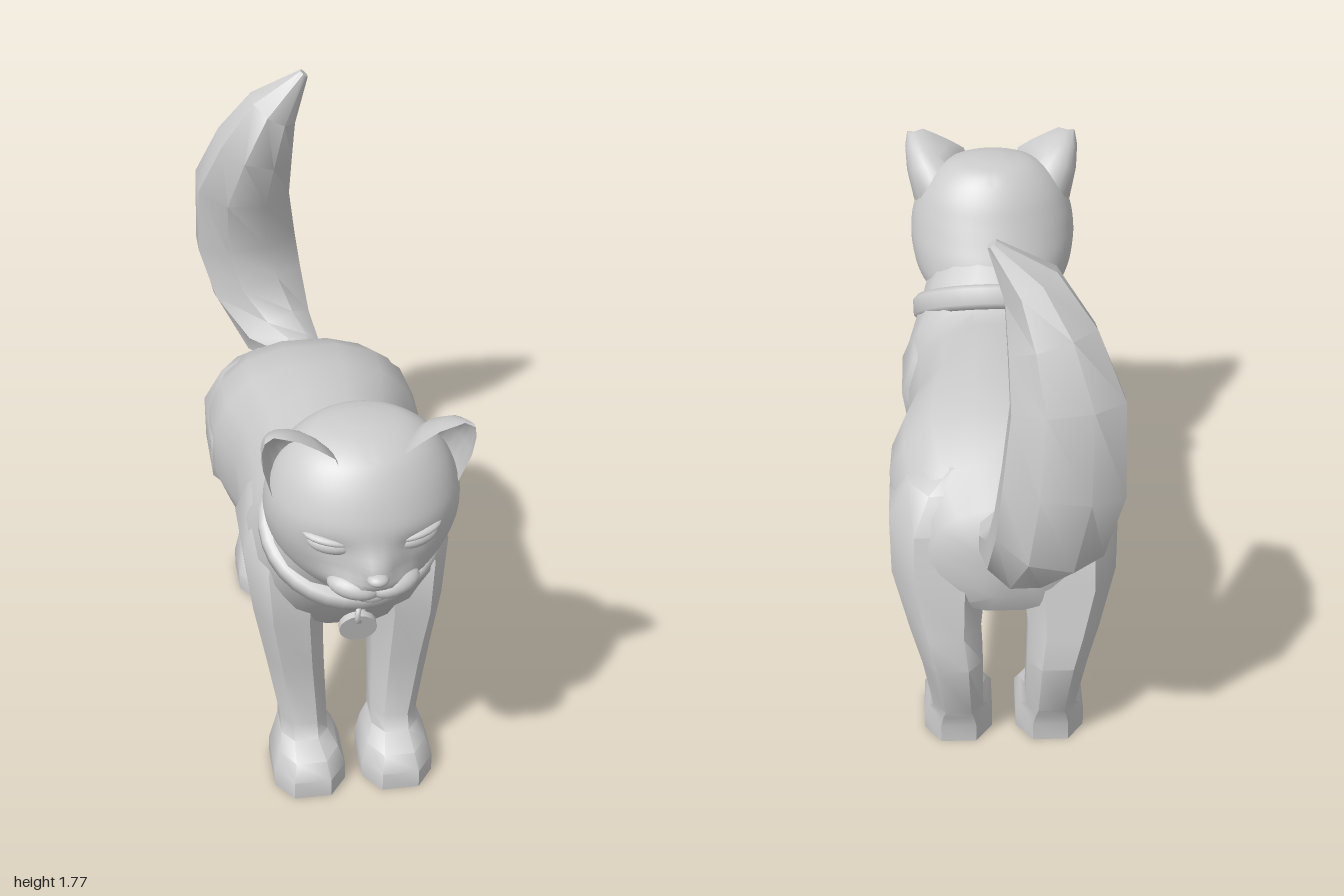
import * as THREE from 'three';
import { toCreasedNormals } from 'three/addons/utils/BufferGeometryUtils.js';

const material = new THREE.MeshStandardMaterial({ color: 0xcccccc });
const V = (x, y, z) => new THREE.Vector3(x, y, z);

function add(parent, name, geometry) {
  const mesh = new THREE.Mesh(geometry, material);
  mesh.name = name;
  parent.add(mesh);
  return mesh;
}

// Closed loop of n points around the axis a-b, with half-width w across it; p < 1 squares it off
function ring(a, b, w, n, p = 1, across = V(1, 0, 0)) {
  const centre = a.clone().add(b).multiplyScalar(0.5);
  const half = a.clone().sub(centre);
  const power = (v) => Math.sign(v) * Math.abs(v) ** p;
  return Array.from({ length: n }, (_, i) => {
    const t = ((i + 0.5) / n) * Math.PI * 2;
    return centre.clone().addScaledVector(across, w * power(Math.cos(t))).addScaledVector(half, power(Math.sin(t)));
  });
}

// Skin through equal-sized loops, capped at both ends and always facing outward
function loft(rings, crease) {
  const n = rings[0].length;
  const tris = [];
  for (let r = 0; r < rings.length - 1; r++) {
    for (let i = 0; i < n; i++) {
      const j = (i + 1) % n;
      const [a, b, c, d] = [rings[r][i], rings[r][j], rings[r + 1][j], rings[r + 1][i]];
      tris.push([a, b, c], [a, c, d]);
    }
  }
  for (const [loop, flip] of [[rings[0], true], [rings.at(-1), false]]) {
    const mid = loop.reduce((s, p) => s.add(p), V(0, 0, 0)).divideScalar(n);
    loop.forEach((p, i) => {
      const q = loop[(i + 1) % n];
      tris.push(flip ? [mid, q, p] : [mid, p, q]);
    });
  }
  const volume = tris.reduce((s, [a, b, c]) => s + a.dot(b.clone().cross(c)), 0);
  if (volume < 0) tris.forEach((t) => t.reverse());
  const geometry = new THREE.BufferGeometry().setFromPoints(tris.flat());
  return toCreasedNormals(geometry, crease);
}

function ellipsoid(parent, name, position, radii, turnY = 0, tiltZ = 0) {
  const mesh = add(parent, name, new THREE.SphereGeometry(1, 20, 14));
  mesh.position.set(...position);
  mesh.scale.set(...radii);
  mesh.rotation.set(0, turnY, tiltZ);
}

// Rows: y, front z, back z, inner x, outer x
function leg(rows, side) {
  return loft(rows.map(([y, zf, zb, xi, xo]) => {
    const x = (side * (xi + xo)) / 2;
    return ring(V(x, y, zf), V(x, y, zb), (xo - xi) / 2, 8, 0.75);
  }), 0.85);
}

const frontLegRows = [
  [0, 0.69, 0.38, 0.02, 0.25], [0.06, 0.69, 0.38, 0.02, 0.25], [0.11, 0.66, 0.37, 0.04, 0.23],
  [0.135, 0.58, 0.37, 0.065, 0.215], [0.18, 0.555, 0.36, 0.065, 0.215], [0.4, 0.555, 0.28, 0.07, 0.255],
  [0.58, 0.575, 0.17, 0.07, 0.29], [0.76, 0.57, 0.08, 0.05, 0.312], [0.87, 0.51, 0.14, 0.05, 0.272],
  [0.94, 0.42, 0.24, 0.05, 0.19],
];
const hindLegRows = [
  [0, -0.3, -0.61, 0.03, 0.25], [0.06, -0.3, -0.61, 0.03, 0.25], [0.1, -0.34, -0.62, 0.045, 0.235],
  [0.13, -0.44, -0.63, 0.06, 0.22], [0.32, -0.46, -0.675, 0.06, 0.25], [0.42, -0.39, -0.655, 0.065, 0.285],
  [0.57, -0.13, -0.63, 0.04, 0.34], [0.74, -0.08, -0.595, 0.02, 0.345], [0.85, -0.18, -0.54, 0.02, 0.285],
  [0.91, -0.3, -0.48, 0.06, 0.18],
];

// Body and neck: top z, top y, bottom z, bottom y, half-width
const bodyRows = [
  [-0.63, 0.76, -0.63, 0.56, 0.09], [-0.59, 0.84, -0.6, 0.49, 0.22], [-0.48, 0.93, -0.48, 0.46, 0.3],
  [-0.32, 1.0, -0.28, 0.45, 0.34], [-0.17, 1.02, -0.16, 0.42, 0.335], [0, 1.025, 0, 0.4, 0.285],
  [0.2, 1.015, 0.26, 0.415, 0.285], [0.3, 1.0, 0.54, 0.55, 0.29], [0.35, 1.04, 0.67, 0.74, 0.25],
  [0.42, 1.1, 0.74, 0.86, 0.22], [0.5, 1.15, 0.77, 0.91, 0.18],
];

// Head: y, front z, back z, half-width
const headRows = [
  [0.872, 0.78, 0.46, 0.1], [0.895, 0.855, 0.42, 0.145], [0.94, 0.885, 0.4, 0.205], [1.0, 0.91, 0.39, 0.248],
  [1.08, 0.935, 0.415, 0.268], [1.15, 0.938, 0.45, 0.268], [1.21, 0.92, 0.48, 0.255], [1.27, 0.89, 0.51, 0.228],
  [1.32, 0.85, 0.545, 0.185], [1.355, 0.79, 0.585, 0.125], [1.37, 0.73, 0.64, 0.05],
];

// Soft swellings and hollows on the face: x, y, width, height, depth
const swellings = [
  [0.06, 0.99, 0.065, 0.038, 0.045], [-0.06, 0.99, 0.065, 0.038, 0.045], [0, 0.918, 0.075, 0.026, 0.04],
  [0, 1.045, 0.05, 0.05, 0.05], [0.115, 1.1, 0.05, 0.03, -0.012], [-0.115, 1.1, 0.05, 0.03, -0.012],
];

function skullGeometry() {
  const steps = 44;
  const span = (k, t) => {
    const u = Math.min(t * (headRows.length - 1), headRows.length - 1.0001);
    const i = Math.floor(u);
    const [a, b, c, d] = [i - 1, i, i + 1, i + 2].map((j) => headRows[THREE.MathUtils.clamp(j, 0, headRows.length - 1)][k]);
    const s = u - i; // Catmull-Rom between rows
    return b + 0.5 * s * (c - a + s * (2 * a - 5 * b + 4 * c - d + s * (3 * (b - c) + d - a)));
  };
  const rings = Array.from({ length: steps + 1 }, (_, i) => {
    const [y, zf, zb, w] = [0, 1, 2, 3].map((k) => span(k, i / steps));
    const loop = ring(V(0, y, zf), V(0, y, zb), w, 56);
    for (const p of loop) {
      if (p.z < 0.72) continue;
      for (const [sx, sy, sw, sh, depth] of swellings) {
        p.z += depth * Math.exp(-(((p.x - sx) / sw) ** 2) - ((y - sy) / sh) ** 2);
      }
    }
    return loop;
  });
  return loft(rings, 1.2);
}

// Tail: centre, half-width, half-depth; loops turn to follow the curve
const tailRows = [
  [0.01, 0.79, -0.53, 0.06, 0.045], [0, 0.782, -0.65, 0.085, 0.065], [-0.05, 0.808, -0.76, 0.125, 0.103],
  [-0.11, 0.95, -0.865, 0.165, 0.128], [-0.145, 1.12, -0.88, 0.178, 0.12], [-0.155, 1.34, -0.835, 0.163, 0.14],
  [-0.115, 1.5, -0.78, 0.13, 0.125], [-0.06, 1.64, -0.737, 0.085, 0.09], [0.04, 1.755, -0.73, 0.016, 0.018],
];

function tailGeometry() {
  const curve = new THREE.CatmullRomCurve3(tailRows.map(([x, y, z]) => V(x, y, z)));
  return loft(tailRows.map(([x, y, z, w, d], i) => {
    const along = curve.getTangent(i / (tailRows.length - 1));
    const depth = V(1, 0, 0).cross(along).normalize();
    const across = along.clone().cross(depth).normalize();
    const c = V(x, y, z);
    return ring(c.clone().addScaledVector(depth, d), c.clone().addScaledVector(depth, -d), w, 8, 1, across);
  }), 0.75);
}

// Ear: a hollow shell; each loop runs along the rounded back and returns along the inner dish
function earGeometry(side) {
  const rows = [ // inner edge, outer edge, bulge
    [V(0.08, 1.29, 0.84), V(0.24, 1.14, 0.75), 0.13], [V(0.09, 1.335, 0.835), V(0.258, 1.2, 0.765), 0.16],
    [V(0.135, 1.365, 0.83), V(0.28, 1.29, 0.795), 0.13], [V(0.185, 1.392, 0.825), V(0.285, 1.36, 0.815), 0.08],
    [V(0.225, 1.408, 0.83), V(0.278, 1.4, 0.83), 0.03],
  ];
  const steps = 10;
  return loft(rows.map(([inner, outer, bulge]) => {
    const arc = (depth, i) => {
      const angle = (Math.PI * i) / steps;
      const p = inner.clone().lerp(outer, 0.5 - 0.5 * Math.cos(angle));
      const k = Math.sin(angle) * depth;
      return V(side * (p.x + 0.1 * k), p.y + 0.1 * k, p.z - k);
    };
    const loop = [];
    for (let i = 0; i <= steps; i++) loop.push(arc(bulge, i));
    for (let i = steps - 1; i > 0; i--) loop.push(arc(bulge * 0.75, i));
    return loop;
  }), 0.9);
}

export function createModel() {
  const cat = new THREE.Group();
  cat.name = 'cat';

  add(cat, 'body', loft(bodyRows.map(([zt, yt, zb, yb, w]) => ring(V(0, yt, zt), V(0, yb, zb), w, 16, 0.85)), 0.85));
  add(cat, 'tail', tailGeometry());

  const head = new THREE.Group();
  head.name = 'head';
  cat.add(head);
  add(head, 'skull', skullGeometry());
  ellipsoid(head, 'nose', [0, 1.037, 0.972], [0.03, 0.018, 0.026]);

  for (const side of [1, -1]) {
    const label = side > 0 ? 'left' : 'right';
    add(cat, label + 'FrontLeg', leg(frontLegRows, side));
    add(cat, label + 'HindLeg', leg(hindLegRows, side));
    add(head, label + 'Ear', earGeometry(side));
    ellipsoid(head, label + 'Muzzle', [side * 0.055, 0.983, 0.912], [0.075, 0.036, 0.05], side * 0.35, side * 0.15);
    ellipsoid(head, label + 'Eye', [side * 0.115, 1.108, 0.885], [0.064, 0.028, 0.036], side * 0.3, side * 0.12);
    ellipsoid(head, label + 'Eyelid', [side * 0.117, 1.126, 0.88], [0.074, 0.017, 0.04], side * 0.3, side * 0.15);
  }

  // Collar band, tilted around the neck, with a hanging tag
  const profile = [[0.2, -0.035], [0.245, -0.04], [0.26, -0.025], [0.262, 0.025], [0.248, 0.04], [0.2, 0.035]];
  const band = new THREE.LatheGeometry(profile.map(([x, y]) => new THREE.Vector2(x, y)), 32);
  const collar = add(cat, 'collar', toCreasedNormals(band, 1));
  collar.position.set(0, 0.905, 0.515);
  collar.rotation.x = 0.62;
  collar.scale.x = 1.02;

  const ringMesh = add(cat, 'tagRing', new THREE.TorusGeometry(0.027, 0.008, 8, 16));
  ringMesh.position.set(0, 0.715, 0.7);
  ringMesh.rotation.y = 1.1;
  const tag = add(cat, 'tag', new THREE.CylinderGeometry(0.055, 0.055, 0.02, 16));
  tag.position.set(-0.005, 0.655, 0.685);
  tag.rotation.x = Math.PI / 2 + 0.25;

  return cat;
}
